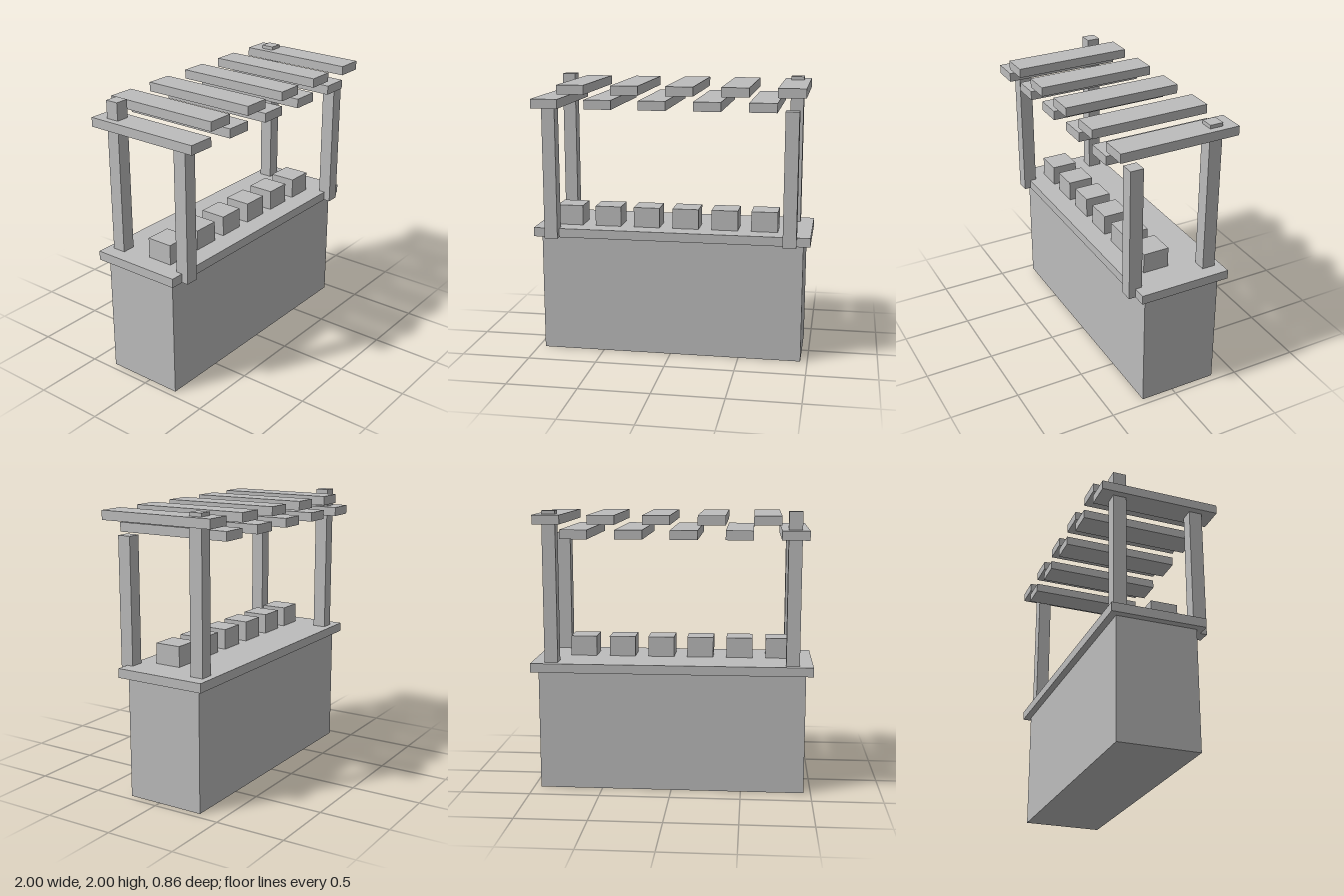
import * as THREE from 'three';

export function createModel() {
  const model = new THREE.Group();
  model.name = 'marketStall';
  const paleGrey = new THREE.MeshStandardMaterial({ color: 0xbcbcbc });
  paleGrey.name = 'paleGrey';

  // Box given by its extents on each axis
  function box(name, [x0, x1], [y0, y1], [z0, z1]) {
    const mesh = new THREE.Mesh(new THREE.BoxGeometry(x1 - x0, y1 - y0, z1 - z0), paleGrey);
    mesh.position.set((x0 + x1) / 2, (y0 + y1) / 2, (z0 + z1) / 2);
    mesh.name = name;
    model.add(mesh);
  }

  // Stand and countertop
  box('base', [-0.95, 0.95], [0, 0.86], [-0.333, 0.238]);
  box('countertop', [-1, 1], [0.86, 0.925], [-0.381, 0.285]);

  // Posts: short in front, tall at the back
  for (const [side, sx] of [['left', 1], ['right', -1]]) {
    const x = [sx * 0.857 - 0.0475, sx * 0.857 + 0.0475];
    box(side + 'FrontPost', x, [0.86, 1.81], [0.238, 0.333]);
    box(side + 'BackPost', x, [0.925, 2], [-0.333, -0.238]);
  }

  // Roof slats, alternating between a lower and an upper row
  for (let i = 0; i < 10; i++) {
    const x = -0.952 + i * 0.1904;
    const y = i % 2 ? 1.91 : 1.81;
    box('roofSlat' + (i + 1), [x, x + 0.1904], [y, y + 0.065], [-0.428, 0.428]);
  }

  // Goods lined up on the counter
  for (let i = 0; i < 6; i++) {
    const x = -0.857 + i * 0.2857;
    box('goodsBox' + (i + 1), [x, x + 0.19], [0.925, 1.07], [-0.047, 0.143]);
  }

  return model;
}
